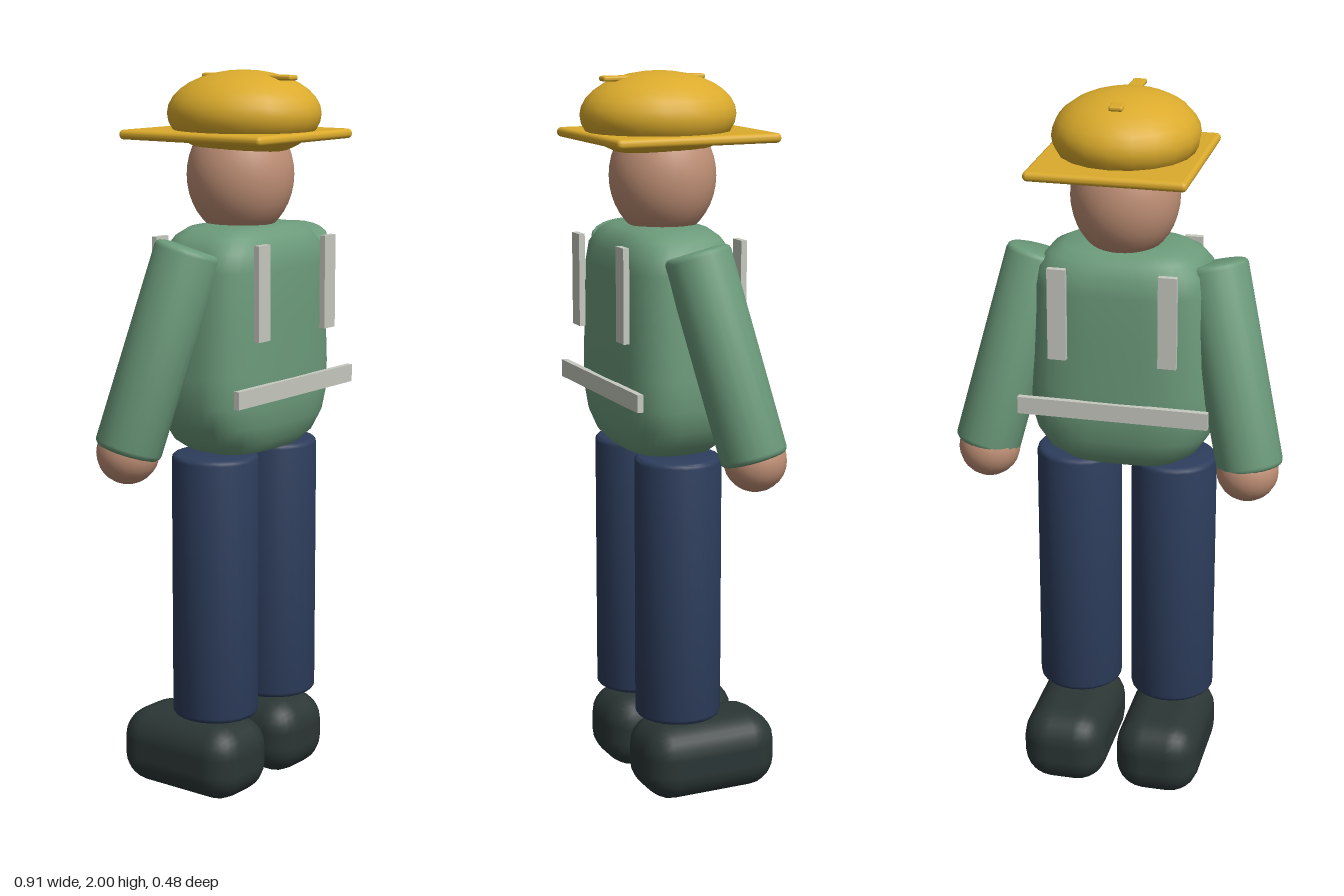
import * as THREE from 'three';
import { toCreasedNormals, mergeVertices } from 'three/addons/utils/BufferGeometryUtils.js';
import { RoundedBoxGeometry } from 'three/addons/geometries/RoundedBoxGeometry.js';

const material = (name, color) => {
  const m = new THREE.MeshStandardMaterial({ color });
  m.name = name;
  return m;
};

// Cylinder with softly rounded rims, centred on its own axis
function softCylinder(radius, height, bevel, sides) {
  const h = height / 2;
  const points = [new THREE.Vector2(0, -h)];
  for (const end of [-1, 1]) {
    for (let i = 0; i <= 3; i++) {
      const a = (end < 0 ? i : 3 - i) * Math.PI / 6;
      points.push(new THREE.Vector2(radius - bevel * (1 - Math.sin(a)), end * (h - bevel * (1 - Math.cos(a)))));
    }
  }
  points.push(new THREE.Vector2(0, h));
  return toCreasedNormals(new THREE.LatheGeometry(points, sides), 0.6);
}

// Loft of rounded-rectangle rings [y, half width, half depth], closed at both ends
function loft(rings, power, sides) {
  const pos = [], index = [];
  const bend = v => Math.sign(v) * Math.abs(v) ** (2 / power);
  for (const [y, rx, rz] of rings) {
    for (let i = 0; i < sides; i++) {
      const a = i / sides * Math.PI * 2;
      pos.push(rx * bend(Math.sin(a)), y, rz * bend(Math.cos(a)));
    }
  }
  for (let r = 0; r < rings.length - 1; r++) {
    for (let i = 0; i < sides; i++) {
      const a = r * sides + i, b = r * sides + (i + 1) % sides;
      index.push(a, b, b + sides, a, b + sides, a + sides);
    }
  }
  const last = (rings.length - 1) * sides, low = pos.length / 3;
  pos.push(0, rings[0][0], 0, 0, rings.at(-1)[0], 0);
  for (let i = 0; i < sides; i++) {
    const j = (i + 1) % sides;
    index.push(low, j, i, low + 1, last + i, last + j);
  }
  const geo = new THREE.BufferGeometry();
  geo.setAttribute('position', new THREE.Float32BufferAttribute(pos, 3));
  geo.setIndex(index);
  const merged = mergeVertices(geo);
  merged.computeVertexNormals();
  return merged;
}

export function createModel() {
  const group = new THREE.Group();
  group.name = 'worker';
  const gold = material('hat yellow', 0xdbab2c);
  const skin = material('skin', 0xc09076);
  const green = material('jacket green', 0x6c9b7b);
  const navy = material('trouser navy', 0x2d3d5c);
  const dark = material('boot black', 0x2b3635);
  const pale = material('reflective strip', 0xc6c9bf);

  const add = (name, geo, mat, x, y, z) => {
    const mesh = new THREE.Mesh(geo, mat);
    mesh.name = name;
    mesh.position.set(x, y, z);
    group.add(mesh);
    return mesh;
  };

  // Torso
  add('torso', loft([
    [0.97, 0.11, 0.08], [0.98, 0.165, 0.115], [1.01, 0.21, 0.142], [1.06, 0.243, 0.16],
    [1.12, 0.26, 0.167], [1.2, 0.262, 0.168], [1.35, 0.252, 0.167], [1.48, 0.243, 0.165],
    [1.53, 0.234, 0.157], [1.565, 0.205, 0.135], [1.585, 0.165, 0.11], [1.592, 0.1, 0.07],
  ], 3, 40), green, 0, 0, 0.027);

  // Head
  add('head', new THREE.SphereGeometry(1, 28, 20).scale(0.147, 0.17, 0.145), skin, 0, 1.72, 0.015);

  // Hard hat: dome, flat brim and crest
  add('hatDome', new THREE.SphereGeometry(1, 20, 16).scale(0.197, 0.116, 0.214), gold, 0, 1.884, 0.027);
  add('hatBrim', new RoundedBoxGeometry(0.428, 0.026, 0.475, 3, 0.012), gold, 0, 1.828, 0);
  add('hatCrest', new RoundedBoxGeometry(0.038, 0.014, 0.297, 2, 0.006), gold, 0, 1.982, 0.044);

  // Reflective strips on front and back
  for (const [side, z] of [['front', 0.2], ['back', -0.145]]) {
    add(side + 'Belt', new THREE.BoxGeometry(0.524, 0.048, 0.017), pale, 0, 1.158, z);
    for (const s of [-1, 1])
      add(side + 'Strap', new THREE.BoxGeometry(0.05, 0.255, 0.017), pale, s * 0.15, 1.428, z);
  }

  // Paired limbs
  const up = new THREE.Vector3(0, 1, 0);
  for (const s of [-1, 1]) {
    const side = s > 0 ? 'left' : 'right';
    const top = new THREE.Vector3(s * 0.24, 1.545, 0.028);
    const wrist = new THREE.Vector3(s * 0.371, 1.002, -0.083);
    const axis = top.clone().sub(wrist);
    const mid = top.clone().add(wrist).multiplyScalar(0.5);
    const arm = add(side + 'Arm', softCylinder(0.091, axis.length(), 0.016, 20), green, mid.x, mid.y, mid.z);
    arm.quaternion.setFromUnitVectors(up, axis.normalize());
    add(side + 'Hand', new THREE.SphereGeometry(0.085, 20, 14), skin, s * 0.363, 1.0, -0.087);
    add(side + 'Leg', softCylinder(0.119, 0.74, 0.014, 24), navy, s * 0.136, 0.605, 0.032);
    add(side + 'Boot', new RoundedBoxGeometry(0.24, 0.217, 0.397, 3, 0.085), dark, s * 0.136, 0.1085, -0.043);
  }
  return group;
}
